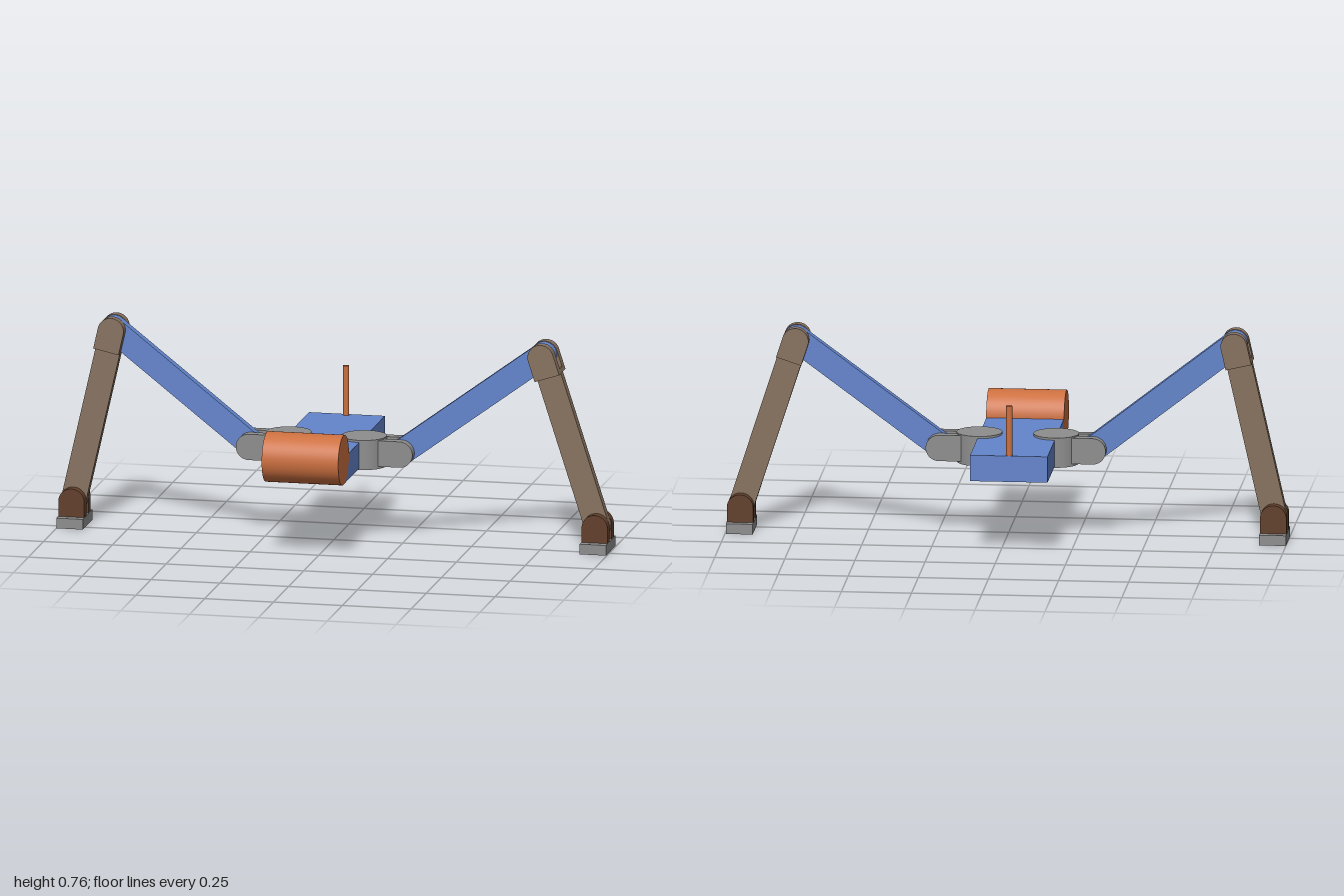
import * as THREE from 'three';
import { toCreasedNormals } from 'three/addons/utils/BufferGeometryUtils.js';

const paint = (name, color) => {
  const m = new THREE.MeshStandardMaterial({ color });
  m.name = name;
  return m;
};

const R = 0.047;      // joint radius
const HALF = 0.0525;  // half width of a fork
const GAP = 0.0185;   // half width of a fork slot
const V = (x, y, z) => new THREE.Vector3(x, y, z);

// Flat bar: round end centred on the origin, reaching down to -length (flat or round)
function barGeometry(r, length, z0, z1, roundFoot = false) {
  const s = new THREE.Shape();
  s.moveTo(r, -length);
  s.lineTo(r, 0);
  s.absarc(0, 0, r, 0, Math.PI, false);
  s.lineTo(-r, -length);
  if (roundFoot) s.absarc(0, -length, r, Math.PI, Math.PI * 2, false);
  else s.closePath();
  const g = new THREE.ExtrudeGeometry(s, { depth: z1 - z0, bevelEnabled: false, curveSegments: 20 });
  g.translate(0, 0, z0);
  return toCreasedNormals(g, 0.6);
}

function mesh(name, geometry, material, x = 0, y = 0, z = 0) {
  const m = new THREE.Mesh(geometry, material);
  m.name = name;
  m.position.set(x, y, z);
  return m;
}

// Places an object at a joint with its local +y along the given direction
function aim(object, origin, direction) {
  const y = direction.clone().normalize();
  const x = new THREE.Vector3().crossVectors(y, V(0, 0, 1)).normalize();
  const z = new THREE.Vector3().crossVectors(x, y);
  object.quaternion.setFromRotationMatrix(new THREE.Matrix4().makeBasis(x, y, z));
  object.position.copy(origin);
  return object;
}

// Two cheeks, joined by a block between slot and length when there is room
function fork(name, material, length, slot) {
  const g = new THREE.Group();
  g.name = name;
  g.add(mesh('innerCheek', barGeometry(R, length, GAP, HALF), material));
  g.add(mesh('outerCheek', barGeometry(R, length, -HALF, -GAP), material));
  if (length > slot) {
    const block = new THREE.BoxGeometry(R * 2, length - slot, GAP * 2);
    g.add(mesh('forkBase', block, material, 0, -(length + slot) / 2, 0));
  }
  return g;
}

export function createModel() {
  const blue = paint('blue', 0x6485cc);
  const orange = paint('orange', 0xcc7040);
  const brown = paint('brown', 0x877260);
  const darkBrown = paint('dark brown', 0x613f2b);
  const grey = paint('grey', 0x8e8e8e);

  const model = new THREE.Group();
  model.name = 'walkingRobot';
  const cx = -0.038;

  // Body slab, front drum and rear antenna
  model.add(mesh('body', new THREE.BoxGeometry(0.276, 0.094, 0.69), blue, cx, 0.32, -0.045));
  const drum = new THREE.CylinderGeometry(0.09, 0.09, 0.278, 48);
  drum.rotateZ(Math.PI / 2);
  model.add(mesh('drum', drum, orange, cx, 0.363, 0.3));
  model.add(mesh('antenna', new THREE.CylinderGeometry(0.011, 0.011, 0.18, 20), orange, cx, 0.457, -0.376));

  // Joint positions of the two legs
  const legs = [
    { name: 'leftLeg', side: 1, hub: 0.1, hip: V(0.24, 0.323, -0.044), knee: V(0.752, 0.7, -0.044), ankle: V(0.949, 0.09, -0.043) },
    { name: 'rightLeg', side: -1, hub: -0.174, hip: V(-0.308, 0.323, -0.046), knee: V(-0.812, 0.717, -0.054), ankle: V(-0.952, 0.092, -0.043) },
  ];

  for (const { name, side, hub, hip, knee, ankle } of legs) {
    const leg = new THREE.Group();
    leg.name = name;

    // Swivel hub and hip fork
    leg.add(mesh('hipHub', new THREE.CylinderGeometry(0.081, 0.081, 0.108, 48), grey, hub, 0.321, -0.044));
    const reach = Math.abs(hip.x - hub) - 0.02;
    leg.add(aim(fork('hipFork', grey, reach, 0.06), hip, V(side, 0, 0)));

    // Thigh
    const thigh = knee.clone().sub(hip);
    leg.add(aim(mesh('thigh', barGeometry(0.045, thigh.length(), -0.0175, 0.0175, true), blue), knee, thigh));

    // Knee fork and shin
    const shin = ankle.clone().sub(knee);
    leg.add(aim(fork('kneeFork', brown, 0.077, 0.06), knee, shin.clone().negate()));
    leg.add(aim(mesh('shin', barGeometry(0.045, shin.length() - 0.07, -0.0175, 0.0175), brown), ankle, shin));

    // Foot
    leg.add(aim(fork('ankleFork', darkBrown, ankle.y - 0.036, 1), ankle, V(0, 1, 0)));
    leg.add(mesh('footPad', new THREE.BoxGeometry(0.096, 0.037, 0.16), grey, ankle.x, 0.0185, -0.042));

    model.add(leg);
  }
  return model;
}
